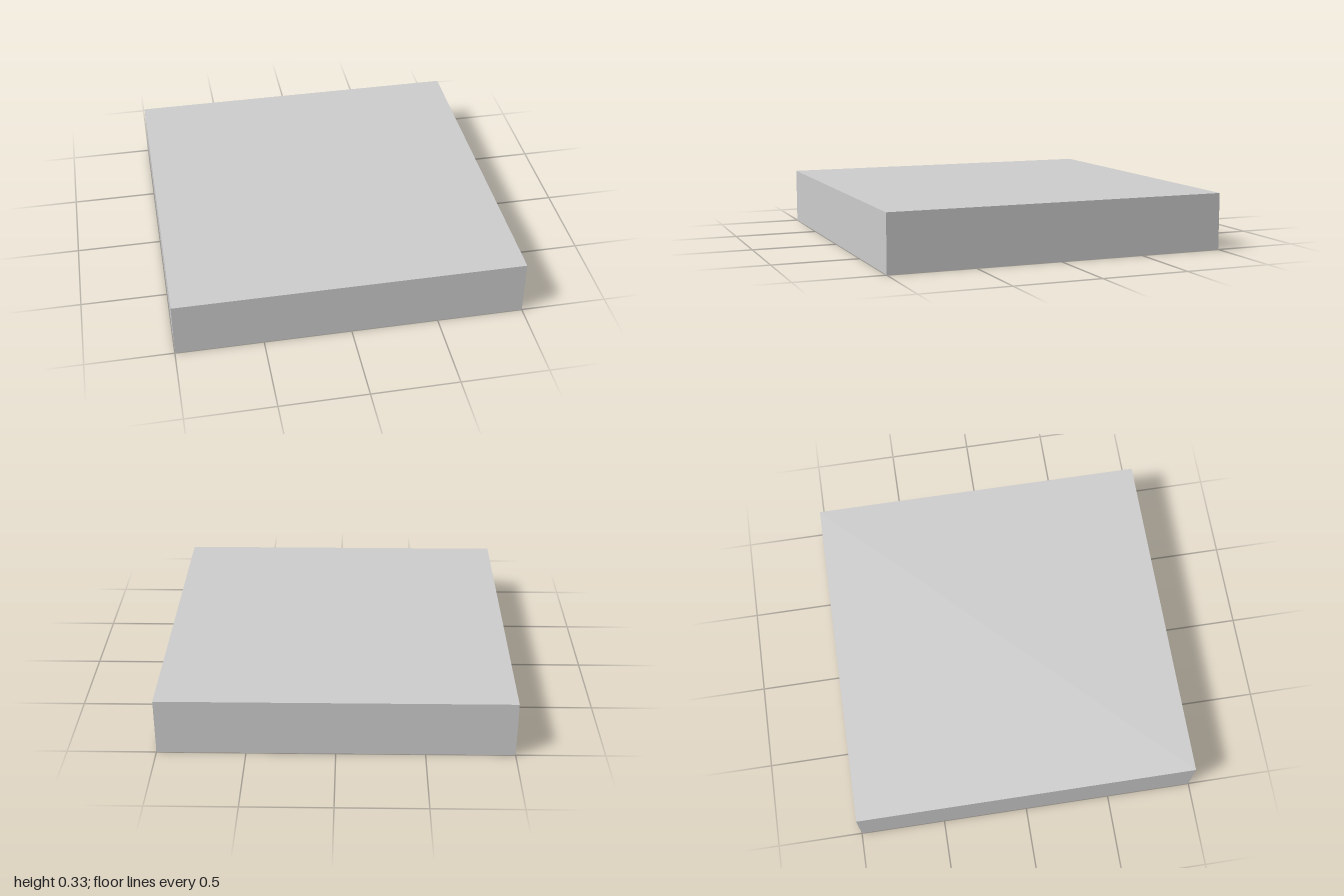
import * as THREE from 'three';

const SIZE = 2, HEIGHT = 0.33, RIM = 0.07, BAYS = 4, DEPTH = 0.14;
const BAY_LENGTH = SIZE - 2 * RIM;
const BAY_WIDTH = (SIZE - RIM * (BAYS + 1)) / BAYS;

export function createModel() {
  const group = new THREE.Group();
  const material = new THREE.MeshStandardMaterial({ color: 0xcccccc });
  const add = (geometry, name, x, y, z) => {
    const mesh = new THREE.Mesh(geometry, material);
    mesh.name = name;
    mesh.position.set(x, y, z);
    group.add(mesh);
  };
  const bayCentre = (i) => -1 + RIM + BAY_WIDTH / 2 + i * (BAY_WIDTH + RIM);
  const trace = (path, w, h, cx) => path
    .moveTo(cx - w / 2, -h / 2).lineTo(cx + w / 2, -h / 2)
    .lineTo(cx + w / 2, h / 2).lineTo(cx - w / 2, h / 2).closePath();

  // Lower frame with four long bays side by side, closed by the housing above
  const outline = trace(new THREE.Shape(), SIZE, SIZE, 0);
  for (let i = 0; i < BAYS; i++) {
    outline.holes.push(trace(new THREE.Path(), BAY_WIDTH, BAY_LENGTH, bayCentre(i)));
  }
  const frame = new THREE.ExtrudeGeometry(outline, { depth: DEPTH, bevelEnabled: false });
  frame.rotateX(-Math.PI / 2);
  add(frame, 'bayFrame', 0, 0, 0);
  add(new THREE.BoxGeometry(SIZE, HEIGHT - DEPTH, SIZE), 'housing', 0, (HEIGHT + DEPTH) / 2, 0);

  // Each bay holds a mounting strip with a lamp tube beneath it, running front to back
  const strip = new THREE.BoxGeometry(0.16, 0.03, BAY_LENGTH);
  const tube = new THREE.CylinderGeometry(0.047, 0.047, BAY_LENGTH - 0.16, 32);
  tube.rotateX(Math.PI / 2);
  for (let i = 0; i < BAYS; i++) {
    add(strip, 'mountingStrip', bayCentre(i), DEPTH - 0.015, 0);
    add(tube, 'lampTube', bayCentre(i), 0.068, 0);
  }
  return group;
}
